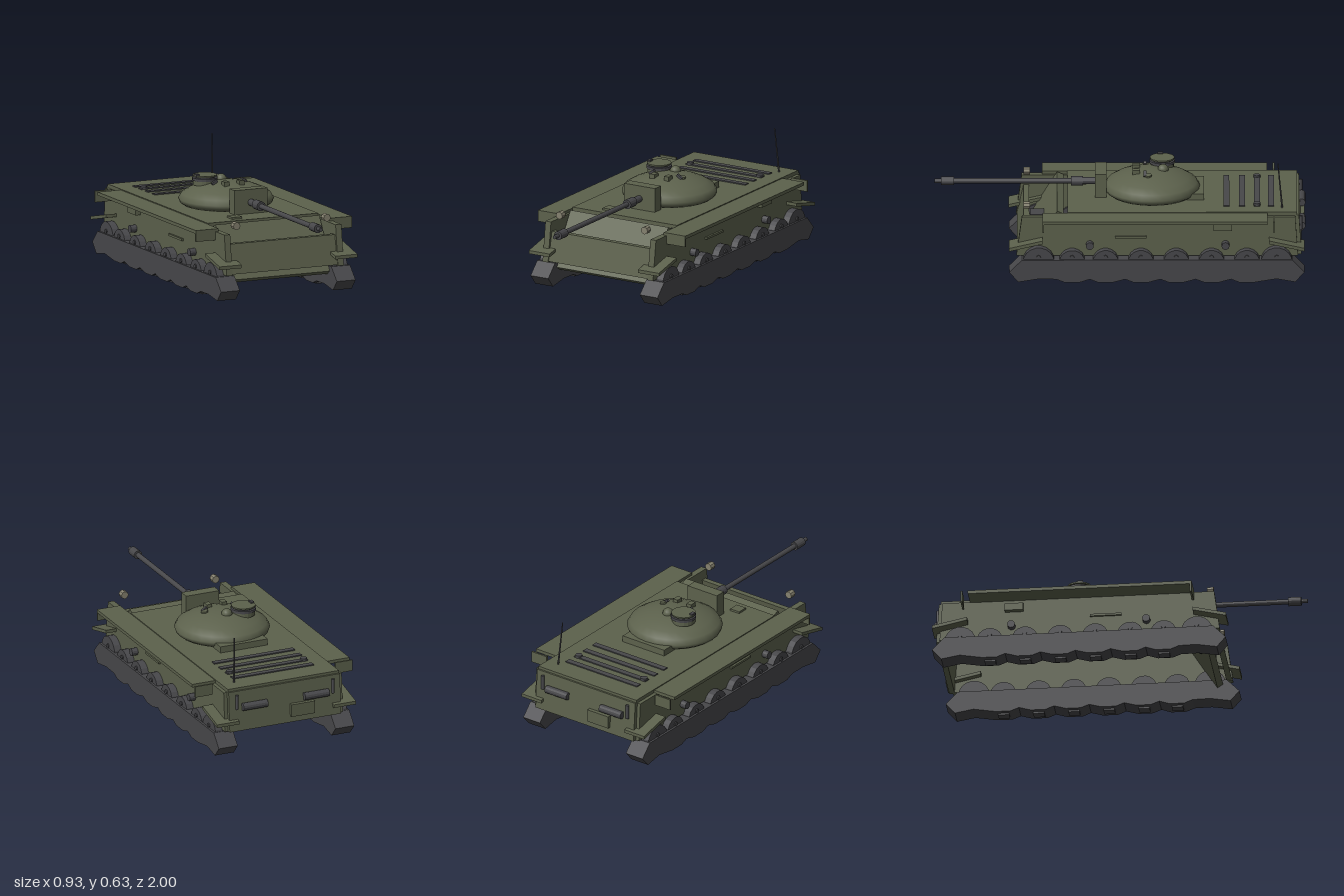
import * as THREE from 'three';

const paint = (color) => new THREE.MeshStandardMaterial({ color, flatShading: true, side: THREE.DoubleSide });
const green = paint(0x5c614c), dark = paint(0x47474a), lamp = paint(0x85816f);
const domeGreen = new THREE.MeshStandardMaterial({ color: 0x5c614c, side: THREE.DoubleSide });

export function createModel() {
  const model = new THREE.Group();

  const add = (name, geo, mat, x = 0, y = 0, z = 0) => {
    const m = new THREE.Mesh(geo, mat);
    m.name = name;
    m.position.set(x, y, z);
    model.add(m);
    return m;
  };
  // Box given by its limits on each axis
  const box = (name, x0, x1, y0, y1, z0, z1, mat = green) =>
    add(name, new THREE.BoxGeometry(Math.abs(x1 - x0), y1 - y0, z1 - z0), mat,
      (x0 + x1) / 2, (y0 + y1) / 2, (z0 + z1) / 2);
  // Cylinder from point a to point b
  const rod = (name, a, b, r0, r1 = r0, mat = dark, sides = 12) => {
    const p = new THREE.Vector3(...a), q = new THREE.Vector3(...b);
    const m = add(name, new THREE.CylinderGeometry(r1, r0, p.distanceTo(q), sides), mat);
    m.position.copy(p).lerp(q, 0.5);
    m.quaternion.setFromUnitVectors(new THREE.Vector3(0, 1, 0), q.sub(p).normalize());
    return m;
  };
  // Plate whose profile [z, y] is swept from x0 to x1
  const sweep = (name, pts, x0, x1, mat = green) => {
    const shape = new THREE.Shape(pts.map(([z, y]) => new THREE.Vector2(-z, y)));
    const geo = new THREE.ExtrudeGeometry(shape, { depth: x1 - x0, bevelEnabled: false });
    geo.rotateY(Math.PI / 2);
    return add(name, geo, mat, x0, 0, 0);
  };
  // Same sweep on both sides of the vehicle
  const sweepPair = (name, pts, x0, x1, mat) => {
    sweep(name, pts, x0, x1, mat);
    sweep(name, pts, -x1, -x0, mat);
  };

  // Hull: an open-bottomed shell of plates
  sweepPair('hullSide', [[0.56, 0.145], [0.53, 0.365], [-0.94, 0.365], [-0.955, 0.145]], 0.315, 0.35);
  box('deck', -0.33, 0.33, 0.365, 0.385, -0.95, 0.285);
  sweep('rearPlate', [[-0.93, 0.37], [-0.96, 0.37], [-0.975, 0.145], [-0.945, 0.145]], -0.33, 0.33);
  sweep('innerGlacis', [[0.305, 0.37], [0.34, 0.385], [0.51, 0.11], [0.48, 0.09]], -0.31, 0.31);
  sweep('frontPlate', [[0.49, 0.31], [0.52, 0.31], [0.555, 0.15], [0.525, 0.145]], -0.315, 0.315);
  box('visionBlock', -0.045, 0.045, 0.18, 0.27, 0.41, 0.485, dark);
  box('hullGunMount', 0.16, 0.24, 0.2, 0.26, 0.42, 0.48, dark);
  rod('hullGun', [0.17, 0.27, 0.38], [0.17, 0.27, 0.49], 0.01);
  box('deckHatch', -0.165, -0.105, 0.385, 0.396, 0.185, 0.245);

  // Engine deck grilles and caps
  for (const z of [-0.81, -0.735, -0.655, -0.57]) box('grille', -0.24, 0.24, 0.383, 0.391, z - 0.016, z + 0.016, dark);

  for (const s of [1, -1]) {
    rod('fillerCap', [s * 0.22, 0.385, -0.735], [s * 0.22, 0.4, -0.735], 0.019);
    // Side shelf with its end flanges
    box('sideShelf', s * 0.33, s * 0.467, 0.362, 0.38, -0.79, 0.42);
    box('frontFlange', s * 0.35, s * 0.467, 0.318, 0.38, 0.41, 0.42);
    box('rearFlange', s * 0.365, s * 0.467, 0.318, 0.38, -0.83, -0.82);
    // Fittings on the hull side
    box('sideBox', s * 0.35, s * 0.38, 0.295, 0.335, -0.6, -0.5);
    box('sideRail', s * 0.35, s * 0.362, 0.246, 0.258, -0.14, 0.03);
    for (const z of [0.165, -0.565]) rod('returnRoller', [s * 0.345, 0.21, z], [s * 0.385, 0.21, z], 0.021);
    // Lamps, exhausts and rear posts
    rod('headlight', [s * 0.27, 0.405, 0.485], [s * 0.27, 0.405, 0.52], 0.021, 0.021, lamp, 8);
    rod('exhaust', [s * 0.11, 0.28, -0.975], [s * 0.255, 0.28, -0.975], 0.021);
    rod('rearPost', [s * 0.285, 0.27, -0.97], [s * 0.285, 0.35, -0.97], 0.009);
  }
  box('rearBox', -0.17, -0.03, 0.18, 0.25, -0.99, -0.96);
  rod('antenna', [0.257, 0.385, -0.87], [0.244, 0.632, -0.847], 0.005, 0.003, dark, 6);

  // Sloping mudguards
  sweepPair('frontMudguard', [[0.6, 0.19], [0.6, 0.208], [0.42, 0.25], [0.42, 0.232]], 0.28, 0.412);
  sweepPair('rearMudguard', [[-0.99, 0.19], [-0.99, 0.208], [-0.8, 0.25], [-0.8, 0.232]], 0.28, 0.412);

  // Tracks, sagging between the wheels
  const wheelZ = [0.44, 0.26, 0.08, -0.11, -0.3, -0.49, -0.68, -0.84];
  const outline = [[0.53, 0.137], [0.598, 0.068], [0.55, 0.012], [0.44, 0.03]];
  for (const z of wheelZ.slice(1, 7)) {
    outline.push([z + 0.085, 0.028], [z + 0.04, 0.01], [z - 0.04, 0.01]);
  }
  outline.push([-0.84, 0.03], [-0.94, 0.012], [-0.99, 0.068], [-0.925, 0.137]);
  sweepPair('track', outline, 0.29, 0.402, dark);

  // Road wheels, with a larger one at each end
  for (const s of [1, -1]) {
    wheelZ.forEach((z, i) => {
      const r = i === 0 || i === 7 ? 0.085 : 0.07;
      rod('wheel', [s * 0.3, 0.118, z], [s * 0.39, 0.118, z], r, r, dark, 18);
      rod('wheelHub', [s * 0.39, 0.15, z], [s * 0.397, 0.15, z], 0.012, 0.012, dark, 8);
    });
    for (const z of wheelZ.slice(1, 7)) box('trackCleat', s * 0.315, s * 0.367, 0, 0.02, z - 0.03, z + 0.03, dark);
  }

  // Turret dome
  const profile = [[0.0, 0.385], [0.23, 0.385], [0.25, 0.4], [0.258, 0.42], [0.242, 0.447], [0.2, 0.472],
    [0.15, 0.492], [0.1, 0.506], [0.05, 0.513], [0.0, 0.515]];
  add('turret', new THREE.LatheGeometry(profile.map((p) => new THREE.Vector2(...p)), 28), domeGreen, 0, 0, -0.17);
  box('mantlet', -0.098, 0.098, 0.385, 0.518, 0.075, 0.137);
  box('turretBustle', -0.14, 0.14, 0.385, 0.42, -0.45, -0.35);

  // Gun, as stepped sections along z
  const gun = [['gunCollar', 0.13, 0.2, 0.019, dark], ['gunSleeve', 0.2, 0.265, 0.026, dark], ['barrel', 0.265, 0.9, 0.014, dark],
    ['muzzleBrake', 0.895, 0.965, 0.024, dark], ['muzzle', 0.965, 1, 0.011, dark]];
  for (const [name, z0, z1, r, mat] of gun) rod(name, [0, 0.446, z0], [0, 0.446, z1], r, r, mat, 14);

  // Commander's cupola as stacked discs
  const discs = [[0.49, 0.515, 0.064, green], [0.515, 0.53, 0.069, dark], [0.53, 0.537, 0.055, dark], [0.537, 0.545, 0.066, green]];
  for (const [y0, y1, r, mat] of discs) rod('cupola', [-0.1, y0, -0.225], [-0.1, y1, -0.225], r, r, mat, 18);
  box('cupolaLatch', -0.163, -0.143, 0.54, 0.553, -0.23, -0.2, dark);

  // Roof fittings
  add('ventDome', new THREE.SphereGeometry(0.03, 14, 10), domeGreen, 0, 0.51, -0.23);
  for (const s of [1, -1]) {
    box('periscope', s * 0.03, s * 0.06, 0.495, 0.526, -0.105, -0.065);
    const hook = box('liftingHook', s * 0.07, s * 0.105, 0.508, 0.522, -0.14, -0.125, dark);
    hook.rotation.z = -s * 0.6;
  }
  const hatch = rod('loaderHatch', [0.09, 0.49, -0.15], [0.095, 0.515, -0.15], 0.022, 0.018, green, 10);
  hatch.name = 'loaderHatch';

  return model;
}
